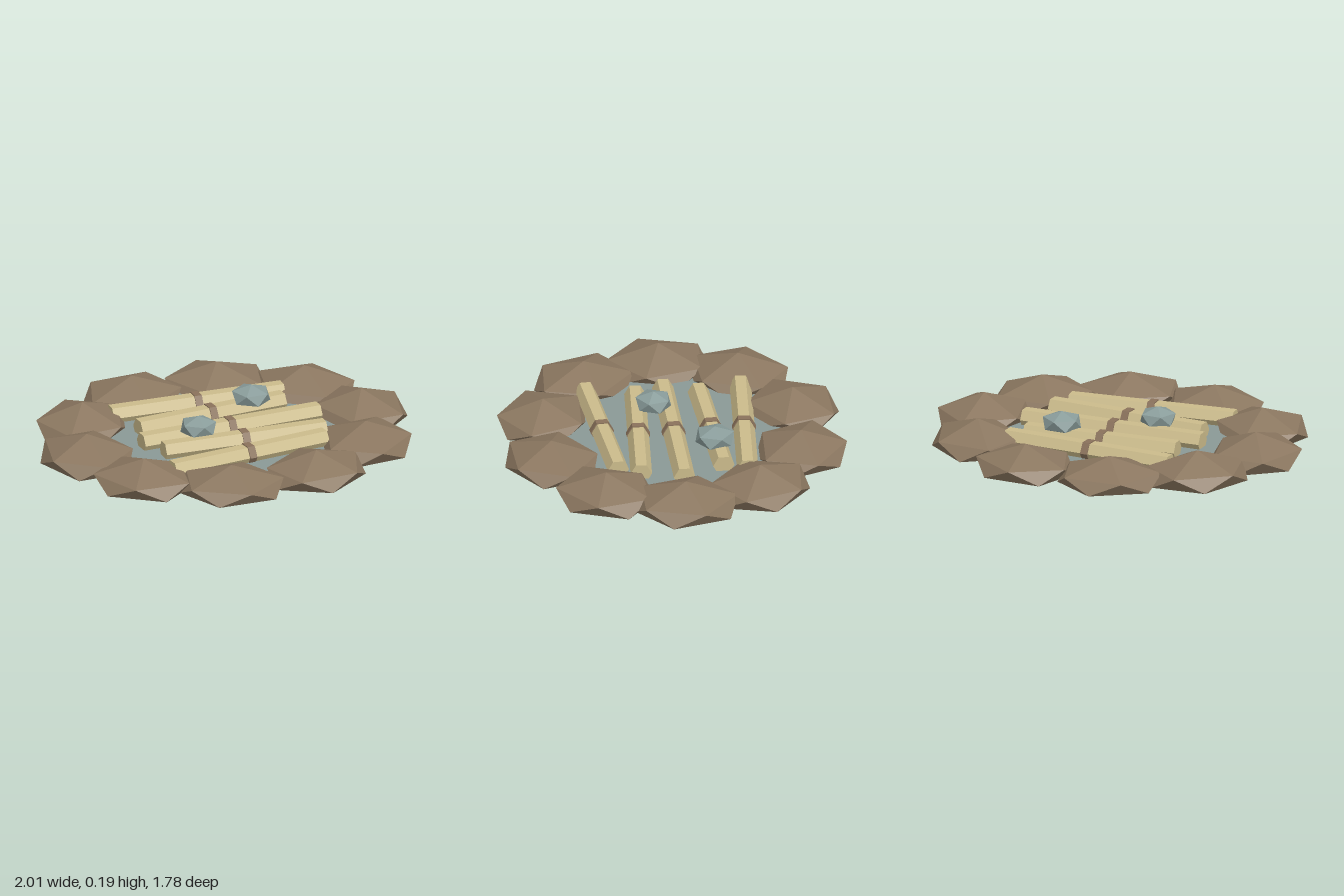
import * as THREE from 'three';

const mat = (name, color) => {
  const m = new THREE.MeshStandardMaterial({ color });
  m.name = name;
  m.flatShading = true;
  return m;
};

// Icosahedron standing on a vertex, so it has one peak and two rings of five
function polarIcosahedron(spin) {
  const g = new THREE.IcosahedronGeometry(1, 0);
  g.rotateZ(-Math.atan(2 / (1 + Math.sqrt(5))));
  g.rotateY(spin);
  return g;
}

// Low mound: squashed icosahedron with everything under the ground pressed flat
function moundGeometry(radial, height, tangential, spin) {
  const g = polarIcosahedron(spin);
  g.scale(radial, height, tangential);
  const p = g.attributes.position;
  for (let i = 0; i < p.count; i++) p.setY(i, Math.max(0, p.getY(i)));
  g.computeVertexNormals();
  return g;
}

export function createModel() {
  const root = new THREE.Group();
  root.name = 'firePit';
  const earth = mat('earth brown', 0x8b7760);
  const water = mat('grey blue floor', 0x8a9996);
  const wood = mat('pale wood', 0xcbbb8b);
  const bandBrown = mat('band brown', 0x8a725b);
  const stoneGrey = mat('stone grey', 0x8a9d9b);

  const add = (name, geometry, material, parent = root) => {
    const mesh = new THREE.Mesh(geometry, material);
    mesh.name = name;
    parent.add(mesh);
    return mesh;
  };

  // Floor inside the ring
  const floorGeometry = new THREE.CylinderGeometry(1, 1, 0.028, 24);
  floorGeometry.scale(0.7, 1, 0.6);
  add('floor', floorGeometry, water).position.y = 0.016;

  // Ring of ten overlapping earth mounds
  const ring = new THREE.Group();
  ring.name = 'moundRing';
  root.add(ring);
  const heights = [0.16, 0.155, 0.15, 0.145, 0.15, 0.16, 0.16, 0.15, 0.15, 0.16];
  heights.forEach((h, i) => {
    const a = (i / 10) * Math.PI * 2;
    const mound = add('mound', moundGeometry(0.265, h, 0.305, 0.32), earth, ring);
    mound.position.set(Math.cos(a) * 0.777, 0, Math.sin(a) * 0.685);
    mound.rotation.y = -a;
  });

  // Logs: [x0, z0, x1, z1], each with a band around the middle
  const logs = [
    [-0.47, -0.4, 0.48, -0.35],
    [-0.41, -0.175, 0.43, -0.23],
    [-0.47, 0.005, 0.54, -0.015],
    [-0.41, 0.155, 0.48, 0.205],
    [-0.47, 0.41, 0.43, 0.32],
  ];
  // Hexagonal bar along x with a flat face on top
  const bar = (radius, length) => {
    const g = new THREE.CylinderGeometry(radius, radius, length, 6);
    g.rotateZ(Math.PI / 2);
    return g;
  };
  for (const [x0, z0, x1, z1] of logs) {
    const log = new THREE.Group();
    log.name = 'bandedLog';
    log.position.set((x0 + x1) / 2, 0.06, (z0 + z1) / 2);
    log.rotation.y = -Math.atan2(z1 - z0, x1 - x0);
    add('log', bar(0.056, Math.hypot(x1 - x0, z1 - z0)), wood, log);
    add('band', bar(0.062, 0.04), bandBrown, log);
    root.add(log);
  }

  // Two stones lying on the logs: [x, z, radius, spin]
  for (const [x, z, r, spin] of [[0.24, -0.2, 0.112, 0.3], [-0.18, 0.08, 0.104, 0.9]]) {
    const g = polarIcosahedron(spin);
    g.scale(r, 0.06, r);
    add('stone', g, stoneGrey).position.set(x, 0.132, z);
  }

  return root;
}
